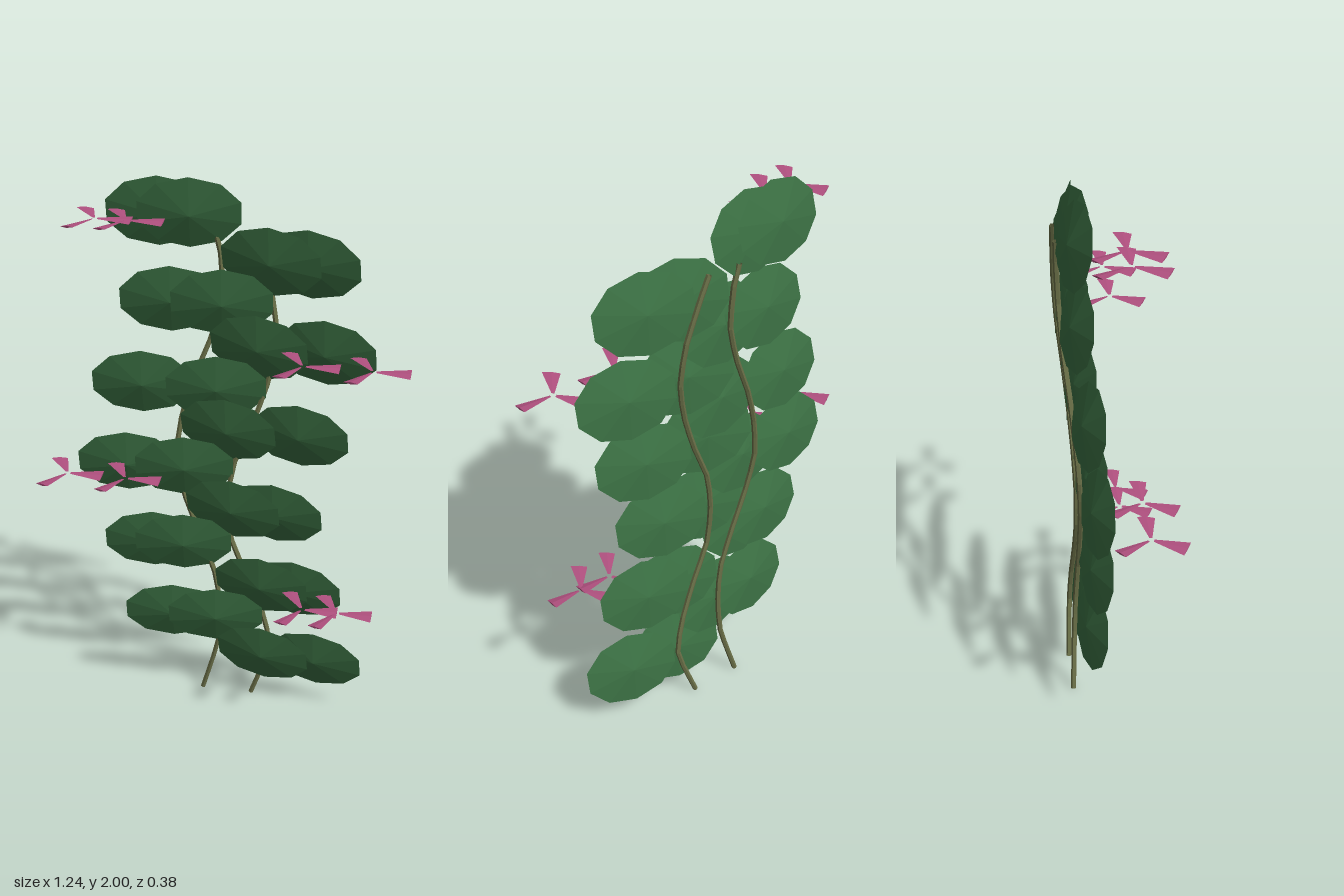
import * as THREE from 'three';

const mat = (color) => new THREE.MeshStandardMaterial({ color, flatShading: true, side: THREE.DoubleSide });

export function createModel() {
  const model = new THREE.Group();
  model.name = 'floweringVine';
  const leafMat = mat(0x3a6e42), stemMat = mat(0x6b7048), petalMat = mat(0xb0507f);

  // Leaf: shallow ten-sided lens, facets fanning out from the middle of each face
  const leafGeo = new THREE.SphereGeometry(1, 10, 2);
  leafGeo.rotateX(Math.PI / 2).rotateZ(Math.PI / 10).scale(0.18, 0.133, 0.024);

  // Petal: thin wedge, narrow at the flower centre and wide at the tip
  const petalGeo = new THREE.CylinderGeometry(0.005, 0.03, 0.112, 4);
  petalGeo.scale(1, 1, 0.12).rotateZ(Math.PI / 2).translate(0.066, 0, 0).rotateX(Math.PI / 2);

  // Stem positions: the root, then one node per leaf row
  const rowY = (i) => 0.22 + 0.15 * i;
  const nodeZ = [-0.14, -0.133, -0.125, -0.122, -0.122, -0.128, -0.137, -0.15, -0.165, -0.174, -0.179, -0.182];
  const stems = [
    { rootX: -0.11, nodeX: [-0.05, -0.04, -0.055, -0.105, -0.16, -0.195, -0.18, -0.14, -0.08, -0.04, -0.045, -0.08] },
    { rootX: 0.075, nodeX: [0.145, 0.12, 0.065, 0.005, -0.01, 0.01, 0.07, 0.12, 0.15, 0.135, 0.085, 0.025] },
  ];

  function addFlower(x, y, z) {
    const flower = new THREE.Group();
    flower.name = 'flower';
    for (let k = 0; k < 3; k++) {
      const petal = new THREE.Mesh(petalGeo, petalMat);
      petal.name = 'petal';
      petal.rotation.set(0.16, (k * Math.PI * 2) / 3, 0, 'YXZ');
      flower.add(petal);
    }
    flower.position.set(x, y, z);
    model.add(flower);
  }

  for (const { rootX, nodeX } of stems) {
    // Stem tube, ending just below the top leaf's centre
    const points = [new THREE.Vector3(rootX, 0.005, -0.152)];
    nodeX.forEach((x, i) => points.push(new THREE.Vector3(x, rowY(i), nodeZ[i])));
    points[12].lerp(points[11], 0.45);
    const path = new THREE.CatmullRomCurve3(points, false, 'catmullrom', 0.3);
    const stem = new THREE.Mesh(new THREE.TubeGeometry(path, 24, 0.0095, 6), stemMat);
    stem.name = 'stem';
    model.add(stem);

    // Leaves alternate sides; every third row carries a flower
    nodeX.forEach((nx, i) => {
      const side = i % 2 ? -1 : 1;
      const x = nx + side * 0.172 + 0.004, z = nodeZ[i] + 0.043;
      const leaf = new THREE.Mesh(leafGeo, leafMat);
      leaf.name = 'leaf';
      leaf.position.set(x, rowY(i), z);
      leaf.rotation.set(0.27, -side * 0.15, 0, 'YXZ');
      model.add(leaf);
      if (i % 3 === 2) addFlower(x + side * 0.173, rowY(i) + 0.01, z + 0.15);
    });
  }
  return model;
}
